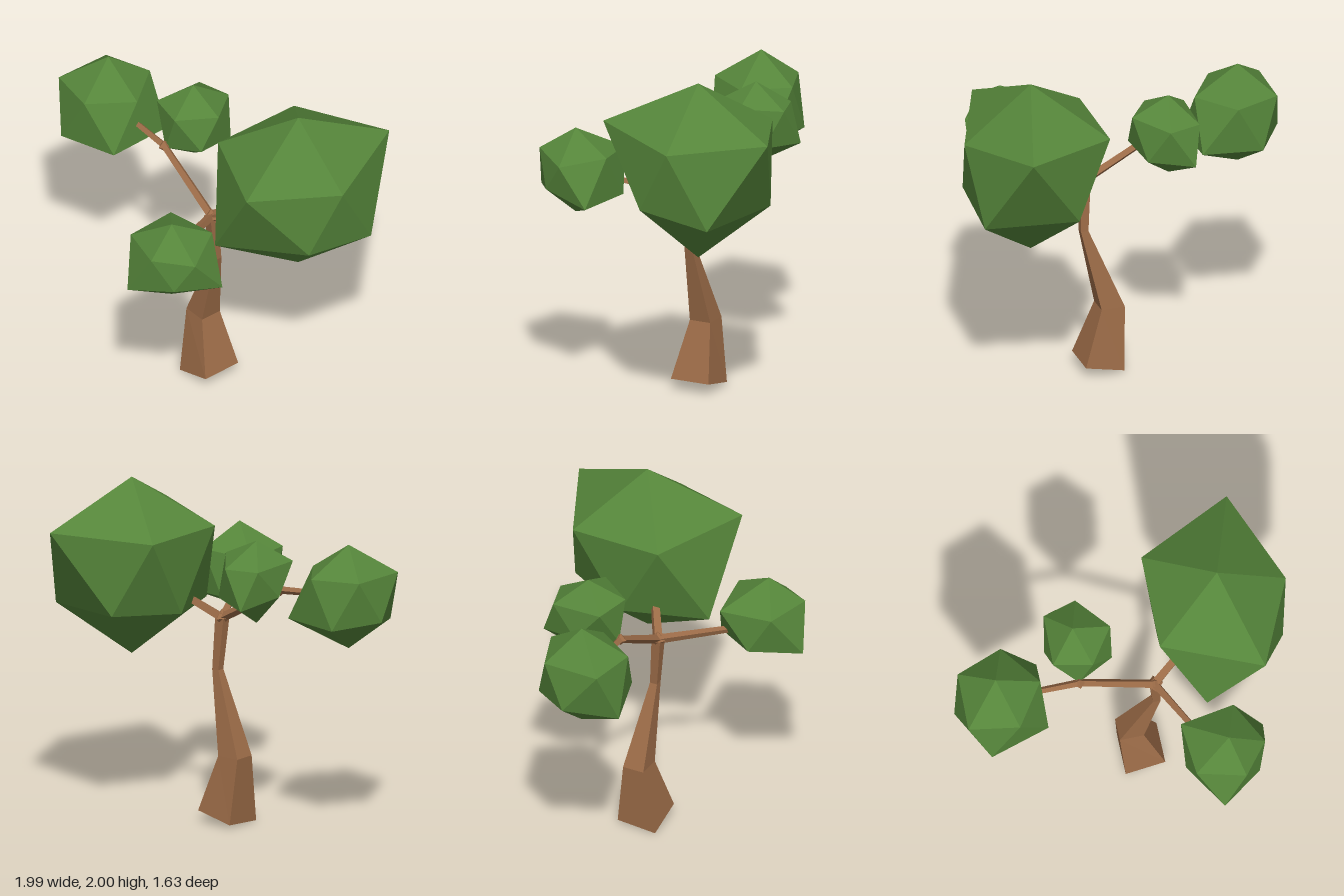
import * as THREE from 'three';

const bark = new THREE.MeshStandardMaterial({ color: 0x9b6b47, flatShading: true });
const leaf = new THREE.MeshStandardMaterial({ color: 0x55853a, flatShading: true });

// Flat-shaded mesh from a list of triangle corners
function facetMesh(name, corners, material) {
  const geometry = new THREE.BufferGeometry().setFromPoints(corners.map((c) => new THREE.Vector3(...c)));
  geometry.computeVertexNormals();
  const mesh = new THREE.Mesh(geometry, material);
  mesh.name = name;
  return mesh;
}

// Irregular 20-sided leaf clump: two staggered rings of five between two tips
function clump(name, top, upper, lower, bottom) {
  const tris = [];
  for (let i = 0; i < 5; i++) {
    const k = (i + 1) % 5;
    tris.push(top, upper[k], upper[i], upper[i], upper[k], lower[i]);
    tris.push(lower[i], upper[k], lower[k], bottom, lower[i], lower[k]);
  }
  return facetMesh(name, tris, leaf);
}

// Four-sided loft through rings of corners, closed at both ends
function loft(name, rings) {
  const tris = [];
  for (let r = 0; r < rings.length - 1; r++) {
    const a = rings[r], b = rings[r + 1];
    for (let j = 0; j < 4; j++) {
      const k = (j + 1) % 4;
      tris.push(a[j], a[k], b[j], a[k], b[k], b[j]);
    }
  }
  const s = rings[0], e = rings[rings.length - 1];
  tris.push(s[0], s[3], s[2], s[0], s[2], s[1], e[0], e[1], e[2], e[0], e[2], e[3]);
  return facetMesh(name, tris, bark);
}

// Level trunk ring: front left, front right, back right, back left
const ring = (y, x0, x1, z0, z1) => [[x0, y, z1], [x1, y, z1], [x1, y, z0], [x0, y, z0]];

// Tapered four-sided branch between two points
function branch(name, from, to, r0, r1) {
  const a = new THREE.Vector3(...from), b = new THREE.Vector3(...to);
  const dir = b.clone().sub(a);
  const mesh = new THREE.Mesh(new THREE.CylinderGeometry(r1, r0, dir.length(), 4), bark);
  mesh.position.copy(a).add(b).multiplyScalar(0.5);
  mesh.quaternion.setFromUnitVectors(new THREE.Vector3(0, 1, 0), dir.normalize());
  mesh.name = name;
  return mesh;
}

function knot(name, at, r) {
  const mesh = new THREE.Mesh(new THREE.OctahedronGeometry(r), bark);
  mesh.position.set(...at);
  mesh.name = name;
  return mesh;
}

export function createModel() {
  const tree = new THREE.Group();
  tree.name = 'tree';

  // Bent trunk with a slanted foot
  tree.add(loft('trunk', [
    [[-0.02, 0, 0.08], [0.21, 0.07, 0.08], [0.21, 0.07, -0.16], [-0.02, 0.02, -0.16]],
    ring(0.4, -0.04, 0.1, -0.115, 0.015),
    ring(0.88, 0.155, 0.2, -0.045, 0.0),
    ring(1.18, 0.135, 0.195, -0.025, 0.03),
  ]));

  // Branches and the knots where they fork
  const fork = [0.165, 1.18, 0], sideFork = [-0.27, 1.42, -0.01];
  tree.add(
    knot('trunkFork', fork, 0.05),
    knot('sideFork', sideFork, 0.038),
    branch('rightBranch', fork, sideFork, 0.027, 0.022),
    branch('rightBranchTip', sideFork, [-0.6, 1.45, 0], 0.022, 0.018),
    branch('backTwig', sideFork, [-0.26, 1.5, -0.2], 0.02, 0.014),
    branch('frontBranch', fork, [0.4, 1.29, 0.5], 0.027, 0.018),
    branch('leftBranch', fork, [0.45, 1.38, -0.18], 0.032, 0.025),
  );

  // Leaf clumps
  tree.add(
    clump('largeCrown', [0.59, 2, -0.29],
      [[0.99, 1.68, -0.29], [0.76, 1.75, 0.23], [0.2, 1.72, -0.02], [0.21, 1.72, -0.57], [0.76, 1.75, -0.82]],
      [[0.93, 1.31, -0.09], [0.43, 1.22, 0.19], [0.235, 1.25, -0.28], [0.43, 1.28, -0.67], [0.95, 1.25, -0.53]],
      [0.59, 0.96, -0.29]),
    clump('rightClump', [-0.76, 1.77, 0],
      [[-0.5, 1.6, 0], [-0.67, 1.605, 0.25], [-0.96, 1.6, 0.2], [-0.95, 1.6, -0.14], [-0.68, 1.6, -0.24]],
      [[-0.49, 1.31, 0.18], [-0.84, 1.29, 0.28], [-1, 1.35, 0], [-0.83, 1.32, -0.24], [-0.48, 1.33, -0.2]],
      [-0.76, 1.16, 0]),
    clump('frontClump', [0.48, 1.58, 0.55],
      [[0.69, 1.4, 0.55], [0.54, 1.45, 0.75], [0.265, 1.44, 0.675], [0.24, 1.43, 0.36], [0.555, 1.45, 0.315]],
      [[0.635, 1.24, 0.66], [0.4, 1.19, 0.81], [0.23, 1.22, 0.545], [0.4, 1.2, 0.285], [0.715, 1.18, 0.37]],
      [0.48, 1.08, 0.55]),
    clump('backClump', [-0.265, 1.755, -0.22],
      [[-0.045, 1.65, -0.225], [-0.19, 1.64, -0.02], [-0.41, 1.63, -0.07], [-0.4, 1.62, -0.375], [-0.205, 1.62, -0.43]],
      [[-0.06, 1.45, -0.11], [-0.27, 1.4, -0.02], [-0.43, 1.45, -0.22], [-0.345, 1.4, -0.465], [-0.095, 1.42, -0.355]],
      [-0.265, 1.27, -0.22]),
  );
  return tree;
}
